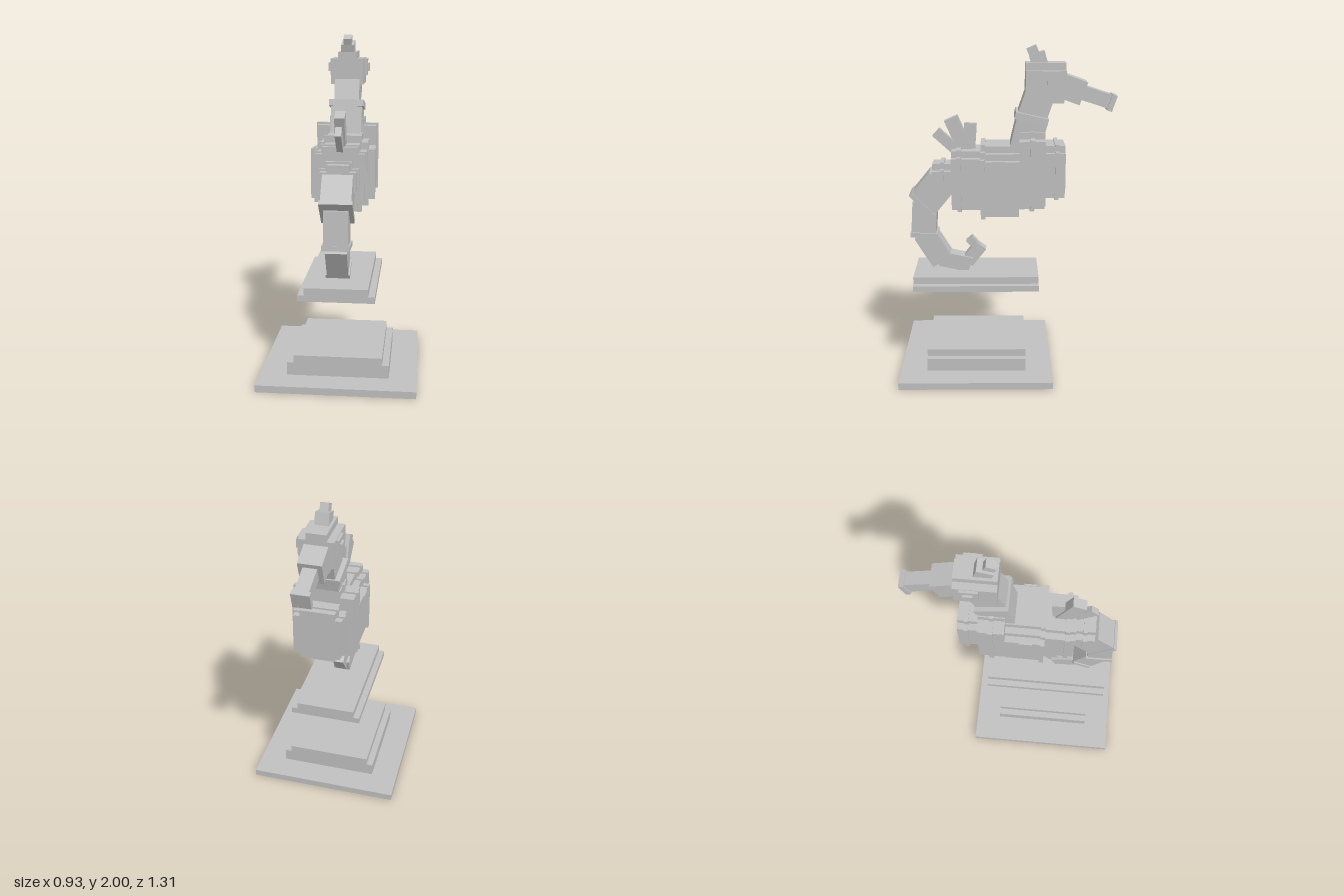
import * as THREE from 'three';

export function createModel() {
  const root = new THREE.Group();
  const grey = new THREE.MeshStandardMaterial({ color: 0xc0c0c0 });
  grey.name = 'stone grey';

  // axis-aligned block: half width in x, then y and z ranges
  function block(name, w, y0, y1, z0, z1, x = 0) {
    const m = new THREE.Mesh(new THREE.BoxGeometry(2 * w, y1 - y0, z1 - z0), grey);
    m.position.set(x, (y0 + y1) / 2, (z0 + z1) / 2);
    m.name = name;
    root.add(m);
  }
  // tilted block running from a to b, given as [z, y]; h is its thickness, w its half width
  function limb(name, a, b, h, w) {
    const dz = b[0] - a[0], dy = b[1] - a[1];
    const m = new THREE.Mesh(new THREE.BoxGeometry(2 * w, h, Math.hypot(dz, dy)), grey);
    m.position.set(0, (a[1] + b[1]) / 2, (a[0] + b[0]) / 2);
    m.rotation.x = -Math.atan2(dy, dz);
    m.name = name;
    root.add(m);
  }
  // body slice with stair-stepped corners: each step is [width inset, height inset]
  function slice(name, w, y0, y1, z0, z1, steps) {
    steps.forEach(([dx, dy]) => block(name, w - dx, y0 + dy, y1 - dy, z0, z1));
  }
  const three = [[0, 0.08], [0.04, 0.04], [0.08, 0]];
  const two = [[0, 0.04], [0.04, 0]];
  const wide = [[0, 0.04], [0.08, 0]];

  // pedestal
  block('basePlate', 0.463, 0, 0.042, -0.27, 0.657);
  block('baseBlock', 0.3, 0.042, 0.12, -0.11, 0.495);
  block('baseBlockTop', 0.26, 0.12, 0.165, -0.11, 0.495);
  block('upperPlate', 0.22, 0.53, 0.567, -0.19, 0.578);
  block('upperPlateTop', 0.182, 0.567, 0.61, -0.19, 0.578);

  // trunk and its raised bands
  slice('chestFront', 0.143, 1.09, 1.41, -0.345, -0.22, two);
  slice('chestFrontBand', 0.153, 1.08, 1.42, -0.307, -0.283, two);
  slice('chest', 0.182, 1.02, 1.49, -0.225, -0.07, wide);
  slice('chestBand', 0.192, 1.01, 1.5, -0.162, -0.135, wide);
  slice('belly', 0.182, 0.972, 1.41, -0.07, 0.16, three);
  slice('bellyBand', 0.192, 0.96, 1.42, 0.135, 0.162, three);
  slice('hip', 0.143, 1.017, 1.378, 0.16, 0.337, two);
  slice('hipBand', 0.153, 1.007, 1.388, 0.278, 0.305, two);
  slice('tailRoot', 0.103, 1.1, 1.293, 0.335, 0.455, two);
  slice('tailRootBand', 0.115, 1.12, 1.305, 0.383, 0.407, two);

  // side fins
  for (const s of [1, -1]) block('sideFin', 0.006, 1.21, 1.335, 0.015, 0.093, s * 0.184);

  // neck
  limb('lowerNeck', [-0.1, 1.36], [-0.148, 1.57], 0.185, 0.095);
  limb('neckBand', [-0.138, 1.552], [-0.147, 1.592], 0.2, 0.105);
  limb('upperNeck', [-0.143, 1.57], [-0.205, 1.75], 0.175, 0.076);

  // head, eyes and crest
  block('head', 0.1, 1.7, 1.855, -0.344, -0.106);
  block('headTop', 0.057, 1.855, 1.895, -0.344, -0.106);
  block('jaw', 0.068, 1.66, 1.7, -0.335, -0.25);
  for (const s of [1, -1]) {
    block('eyeSocket', 0.008, 1.748, 1.85, -0.307, -0.203, s * 0.107);
    block('eye', 0.008, 1.772, 1.824, -0.287, -0.233, s * 0.121);
  }
  limb('crest', [-0.195, 1.87], [-0.172, 1.95], 0.095, 0.04);
  limb('crestTip', [-0.165, 1.925], [-0.14, 1.985], 0.062, 0.025);

  // snout
  limb('snoutBase', [-0.29, 1.773], [-0.45, 1.715], 0.142, 0.068);
  limb('snout', [-0.44, 1.72], [-0.625, 1.66], 0.085, 0.04);
  limb('snoutTip', [-0.607, 1.663], [-0.637, 1.653], 0.1, 0.052);

  // dorsal fin spines
  limb('dorsalSpine', [0.432, 1.48], [0.29, 1.35], 0.064, 0.018);
  limb('dorsalSpine', [0.341, 1.564], [0.24, 1.335], 0.085, 0.029);
  limb('dorsalSpine', [0.222, 1.533], [0.235, 1.35], 0.075, 0.018);

  // curling tail: [name, start, end, thickness, half width]
  [
    ['tailUpper', [0.4, 1.185], [0.515, 1.045], 0.19, 0.087],
    ['tailBand', [0.51, 1.05], [0.528, 1.032], 0.2, 0.095],
    ['tailMiddle', [0.505, 1.055], [0.518, 0.85], 0.15, 0.07],
    ['tailBand', [0.513, 0.86], [0.515, 0.83], 0.165, 0.08],
    ['tailLower', [0.515, 0.85], [0.412, 0.68], 0.138, 0.062],
    ['tailBand', [0.42, 0.692], [0.407, 0.67], 0.13, 0.07],
    ['tailBend', [0.42, 0.685], [0.245, 0.645], 0.095, 0.05],
    ['tailBand', [0.25, 0.652], [0.23, 0.645], 0.09, 0.053],
    ['tailCurl', [0.25, 0.655], [0.165, 0.765], 0.08, 0.035],
    ['tailTip', [0.18, 0.74], [0.238, 0.808], 0.052, 0.024],
  ].forEach((p) => limb(...p));

  return root;
}
